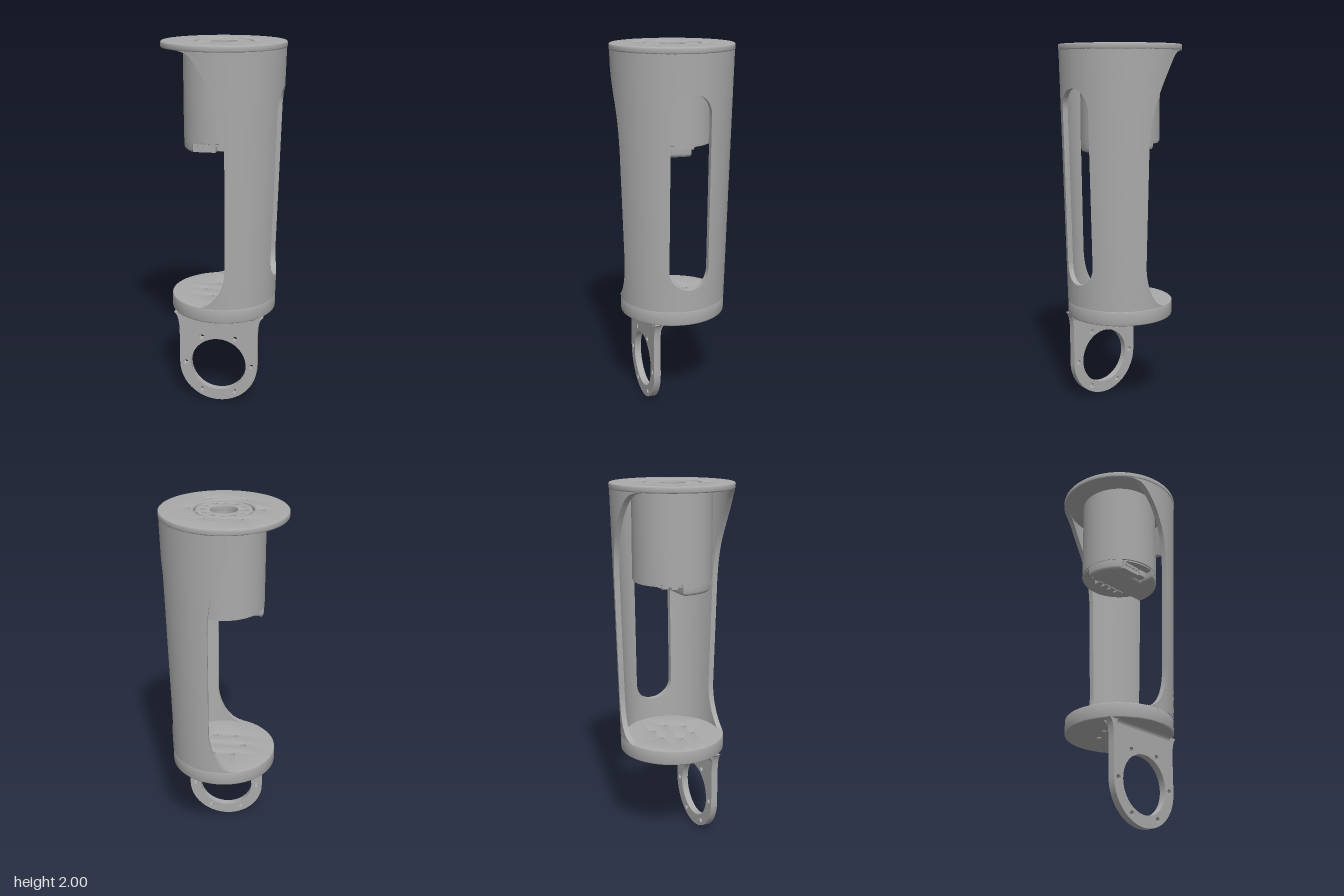
import * as THREE from 'three';
import { toCreasedNormals } from 'three/addons/utils/BufferGeometryUtils.js';

const metal = new THREE.MeshStandardMaterial({ color: 0xaaaaaa });
metal.name = 'grey metal';

const lerp = THREE.MathUtils.lerp;
const PI = Math.PI;

// Surface over rows of y and columns of u in 0..1
function grid(ys, n, fn) {
  const pos = [], idx = [];
  ys.forEach((y, i) => {
    for (let j = 0; j <= n; j++) {
      pos.push(...fn(y, j / n));
      if (i && j) {
        const d = i * (n + 1) + j, c = d - 1, b = d - n - 1, a = b - 1;
        idx.push(a, c, b, b, c, d);
      }
    }
  });
  const g = new THREE.BufferGeometry();
  g.setAttribute('position', new THREE.Float32BufferAttribute(pos, 3));
  g.setIndex(idx);
  g.computeVertexNormals();
  return g;
}

const hole = (x, y, r) => new THREE.Path().absarc(x, y, r, 0, 2 * PI, true);
const holeRing = (radius, r, start = 0, cy = 0) => Array.from({ length: 6 }, (_, i) => {
  const a = start + i * PI / 3;
  return hole(radius * Math.cos(a), cy + radius * Math.sin(a), r);
});

function extrude(shape, depth, bevel = 0) {
  return toCreasedNormals(new THREE.ExtrudeGeometry(shape, {
    depth: depth - 2 * bevel, curveSegments: 32, bevelEnabled: bevel > 0,
    bevelThickness: bevel, bevelSize: bevel, bevelOffset: -bevel, bevelSegments: 3,
  }).translate(0, 0, bevel), 0.6);
}

// Horizontal slab between two heights
const slab = (shape, y0, y1, bevel) =>
  extrude(shape, y1 - y0, bevel).rotateX(-PI / 2).translate(0, y0, 0);

function discShape(r, holes) {
  const s = new THREE.Shape().absarc(0, 0, r, 0, 2 * PI, false);
  s.holes.push(...holes);
  return s;
}

// Outline of the side opening and the rounded slot in the tapered wall
const wallR = y => 0.29 + 0.04 * (y - 0.52) / 1.48;
const thick = 0.03;
const topCurve = new THREE.SplineCurve([
  [0.058, 1.46], [0.05, 1.57], [0.03, 1.67], [-0.01, 1.77], [-0.05, 1.845],
  [-0.1, 1.92], [-0.14, 1.955], [-0.2, 1.97],
].map(p => new THREE.Vector2(...p))).getPoints(28);

function cutX(y) {
  if (y < 0.85) return -0.09 + 0.148 * Math.sqrt(Math.max(0, 1 - ((0.85 - y) / 0.25) ** 2));
  if (y <= 1.46) return 0.058;
  for (let i = 1; i < topCurve.length; i++) {
    const a = topCurve[i - 1], b = topCurve[i];
    if (y <= b.y) return lerp(a.x, b.x, (y - a.y) / (b.y - a.y));
  }
  return -0.2;
}
function slotZ(y) {
  const d = Math.max(0.83 - y, y - 1.66, 0);
  return d < 0.11 ? Math.sqrt(0.0121 - d * d) : 0;
}

function wallHalf() {
  const set = [0.95, 1.1, 1.25, 1.4, ...topCurve.map(p => p.y)];
  for (let i = 0; i <= 12; i++) {
    const c = Math.cos(i / 12 * PI / 2);
    set.push(0.85 - 0.25 * c, 0.83 - 0.11 * c, 1.66 + 0.11 * c);
  }
  const ys = [...new Set(set.map(v => +v.toFixed(5)))].sort((a, b) => a - b);
  const slotYs = ys.filter(y => y >= 0.7199 && y <= 1.7701);
  const point = (y, u, inset) => {
    const r = wallR(y) - inset;
    const t = lerp(Math.asin(slotZ(y) / r), Math.acos(cutX(y) / r), u);
    return [r * Math.cos(t), y, r * Math.sin(t)];
  };
  return {
    wallOutside: grid(ys, 20, (y, u) => point(y, u, 0)),
    wallInside: grid(ys, 20, (y, u) => point(y, 1 - u, thick)),
    openingEdge: grid(ys, 1, (y, u) => point(y, 1, thick * u)),
    slotEdge: grid(slotYs, 1, (y, u) => point(y, 0, thick * (1 - u))),
  };
}

// Concave fillet between the bracket plate and the base, running along x
function fillet(z, dz, h, width) {
  const s = new THREE.Shape();
  s.moveTo(z, 0.525 - h);
  s.quadraticCurveTo(z, 0.522, z + dz, 0.522);
  s.lineTo(z, 0.525);
  return extrude(s, width).rotateY(-PI / 2).translate(width / 2, 0, 0);
}

export function createModel() {
  const model = new THREE.Group();
  const add = (name, geometry, parent = model) => {
    const m = new THREE.Mesh(geometry, metal);
    m.name = name;
    parent.add(m);
    return m;
  };

  // Tapered wall, mirrored front to back
  const half = wallHalf();
  for (const side of [1, -1]) {
    const g = new THREE.Group();
    g.name = side > 0 ? 'frontWall' : 'backWall';
    g.scale.z = side;
    for (const [name, geo] of Object.entries(half)) add(name, geo, g);
    model.add(g);
  }

  // Base disc and top flange
  add('baseDisc', slab(discShape(0.291, holeRing(0.11, 0.013)), 0.52, 0.602, 0.006));
  add('topFlange', slab(discShape(0.332, [hole(0, 0, 0.153), ...holeRing(0.188, 0.013)]), 1.967, 2, 0.007));

  // Rotor face with its bolt circles
  add('rotorFace', slab(discShape(0.143, [
    hole(0, 0, 0.07), ...holeRing(0.108, 0.014), ...holeRing(0.11, 0.01, PI / 6),
  ]), 1.965, 1.996, 0.002));

  // Motor body with a blind bore
  const profile = [[0, 1.48], [0.209, 1.48], [0.209, 1.488], [0.215, 1.49], [0.215, 1.976],
    [0.07, 1.976], [0.07, 1.92], [0, 1.92]].map(p => new THREE.Vector2(...p));
  add('motorBody', toCreasedNormals(new THREE.LatheGeometry(profile, 64), 0.6));

  // Motor end cap, cut off at the back and notched at the front
  const cap = new THREE.Shape();
  const R = 0.213, a = Math.asin(0.035 / R);
  cap.absarc(0, 0, R, PI - a, PI + Math.acos(0.14 / R), false);
  cap.lineTo(-0.14, -0.12);
  cap.lineTo(0.055, -0.12);
  cap.absarc(0, 0, R, 2 * PI - Math.acos(0.055 / R), 2 * PI + a, false);
  add('motorCap', slab(cap, 1.43, 1.53, 0.018));

  // Connectors on the cap
  const box = (name, w, h, d, x, y, z) =>
    add(name, new THREE.BoxGeometry(w, h, d).translate(x, y, z));
  box('frontConnector', 0.12, 0.05, 0.05, -0.075, 1.46, 0.14);
  box('frontPlug', 0.05, 0.04, 0.05, 0.02, 1.465, 0.14);
  box('backLedge', 0.3, 0.03, 0.04, 0, 1.472, -0.05);
  for (let i = 0; i < 4; i++) {
    box('connectorPin', 0.014, 0.014, 0.012, -0.115 + i * 0.027, 1.465, 0.168);
    box('backConnector', 0.035, 0.035, 0.04, -0.08 + i * 0.05, 1.47, -0.08);
  }

  // Hanging bracket with a large bore and bolt holes
  const b = new THREE.Shape();
  b.moveTo(-0.25, 0.522);
  b.quadraticCurveTo(-0.22, 0.5, -0.22, 0.4);
  b.lineTo(-0.22, 0.22);
  b.absarc(0, 0.22, 0.22, PI, 2 * PI, false);
  b.lineTo(0.22, 0.4);
  b.quadraticCurveTo(0.22, 0.5, 0.25, 0.522);
  b.holes.push(hole(0, 0.22, 0.156), ...holeRing(0.188, 0.014, 0, 0.22));
  add('bracketPlate', extrude(b, 0.038).translate(0, 0, 0.142));

  // Fillets behind and in front of the bracket; the front one is mirrored
  const back = fillet(-0.143, 0.06, 0.07, 0.45).rotateY(PI);
  back.scale(1, 1, 1);
  const rear = add('rearFillet', fillet(0, 0.06, 0.07, 0.45).rotateY(PI));
  rear.position.z = 0.143;
  add('frontFillet', fillet(0.179, 0.03, 0.035, 0.4));

  return model;
}
